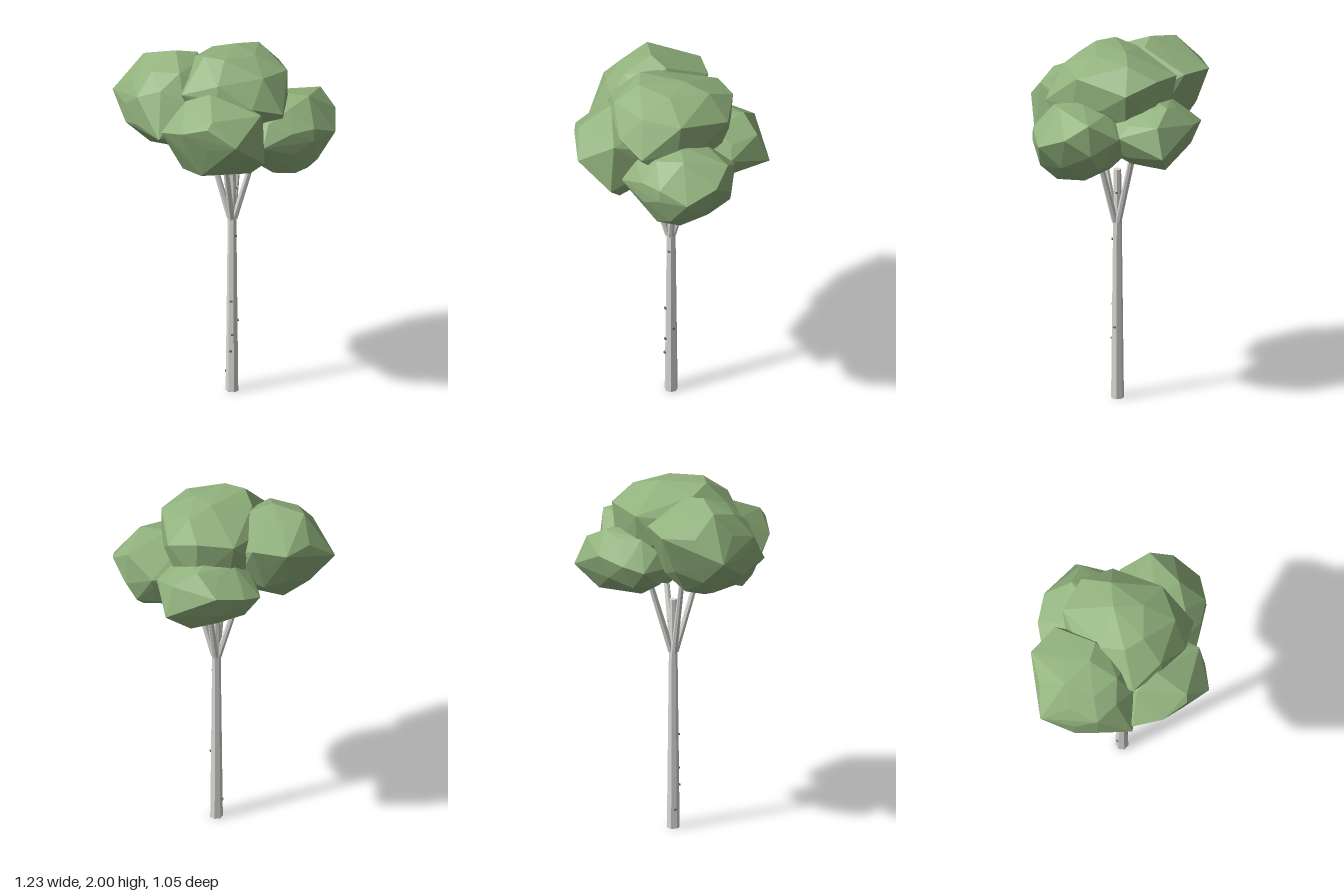
import * as THREE from 'three';
import { ConvexGeometry } from 'three/addons/geometries/ConvexGeometry.js';

const leafGreen = new THREE.MeshStandardMaterial({ color: 0x91b27d });
const barkGrey = new THREE.MeshStandardMaterial({ color: 0xdad9d5 });
const markGrey = new THREE.MeshStandardMaterial({ color: 0x73716e });

function seeded(seed) {
  let s = seed;
  return () => (s = (s * 16807) % 2147483647) / 2147483647;
}

// Faceted leaf clump: hull around a jittered icosphere core and a few landmark corners
function clump(name, seed, center, radii, corners) {
  const rand = seeded(seed);
  const c = new THREE.Vector3(...center);
  const r = new THREE.Vector3(...radii);
  const core = new THREE.IcosahedronGeometry(1, 1).attributes.position;
  const points = corners.map((p) => new THREE.Vector3(...p));
  const seen = new Set();
  for (let i = 0; i < core.count; i++) {
    const v = new THREE.Vector3().fromBufferAttribute(core, i);
    const key = v.toArray().map((n) => Math.round(n * 100)).join();
    if (seen.has(key)) continue;
    seen.add(key);
    points.push(v.multiplyScalar(0.87 + 0.08 * rand()).multiply(r).add(c));
  }
  const mesh = new THREE.Mesh(new ConvexGeometry(points), leafGreen);
  mesh.name = name;
  return mesh;
}

// Tapered faceted limb between two points
function limb(name, from, to, rFrom, rTo, sides) {
  const a = new THREE.Vector3(...from), b = new THREE.Vector3(...to);
  const axis = b.clone().sub(a);
  const g = new THREE.CylinderGeometry(rTo, rFrom, axis.length(), sides).toNonIndexed();
  g.computeVertexNormals();
  const mesh = new THREE.Mesh(g, barkGrey);
  mesh.position.copy(a).add(b).multiplyScalar(0.5);
  mesh.quaternion.setFromUnitVectors(new THREE.Vector3(0, 1, 0), axis.normalize());
  mesh.name = name;
  return mesh;
}

export function createModel() {
  const tree = new THREE.Group();
  tree.name = 'tree';
  const tx = 0.036;

  // Trunk and four forked branches
  const trunk = limb('trunk', [tx, 0, -0.003], [tx, 1.31, -0.003], 0.036, 0.021, 7);
  trunk.rotateY(0.52);
  tree.add(trunk);
  [['leftBranch', 1, 0], ['rightBranch', -1, 0], ['frontBranch', -0.05, 1], ['backBranch', 0.05, -1]].forEach(([name, x, z]) => {
    tree.add(limb(name, [tx + x * 0.012, 1.01, z * 0.012], [tx + x * 0.18, 1.58, z * 0.18], 0.018, 0.014, 7));
  });

  // Small dark bark marks: height and heading around the trunk
  const marks = new THREE.Group();
  marks.name = 'barkMarks';
  [[0.11, -1.6], [0.24, 0], [0.335, 0.3], [0.41, 2], [0.53, 0.1], [0.91, 1.1], [1.18, 2.4]].forEach(([y, a]) => {
    const r = 0.034 - 0.0115 * y;
    const m = new THREE.Mesh(new THREE.BoxGeometry(0.015, 0.009, 0.012), markGrey);
    m.position.set(tx + Math.sin(a) * r, y, Math.cos(a) * r);
    m.rotation.y = a;
    m.name = 'barkMark';
    marks.add(m);
  });
  tree.add(marks);

  // Crown of five overlapping clumps
  const crown = new THREE.Group();
  crown.name = 'crown';
  crown.add(
    clump('topClump', 11, [0.04, 1.74, 0], [0.33, 0.27, 0.34], [
      [-0.08, 2, 0.15], [0.04, 2, -0.08], [0.04, 2, 0.17], [0.17, 1.985, 0.02], [0.13, 1.97, -0.2],
      [0.34, 1.9, -0.02], [0.04, 1.9, -0.34], [0.22, 1.84, -0.29], [0.375, 1.73, 0.2], [0.23, 1.78, 0.3],
      [0.04, 1.83, 0.33], [-0.16, 1.83, 0.31], [0.04, 1.9, 0.31], [0.26, 1.92, 0.18], [0.35, 1.63, 0.1],
      [0.05, 1.66, -0.32], [-0.15, 1.96, 0.05], [-0.15, 1.88, -0.28], [-0.24, 1.85, 0]]),
    clump('rightClump', 23, [-0.28, 1.71, 0.08], [0.29, 0.28, 0.31], [
      [-0.615, 1.72, 0.07], [-0.44, 1.95, 0.07], [-0.26, 1.985, 0.07], [-0.16, 1.96, 0], [-0.43, 1.84, -0.22],
      [-0.24, 1.85, -0.24], [-0.51, 1.84, -0.06], [-0.5, 1.6, 0.22], [-0.39, 1.67, 0.29], [-0.26, 1.6, 0.42],
      [-0.14, 1.72, 0.29], [-0.43, 1.51, 0.1], [-0.26, 1.43, 0.08], [-0.16, 1.46, 0.15], [-0.27, 1.84, 0.24]]),
    clump('frontClump', 37, [0.03, 1.6, 0.25], [0.28, 0.22, 0.27], [
      [-0.25, 1.64, 0.41], [-0.11, 1.68, 0.5], [0.04, 1.73, 0.525], [0.2, 1.64, 0.525], [0.06, 1.77, 0.5],
      [0.29, 1.77, 0.34], [0.315, 1.5, 0.36], [0.22, 1.41, 0.3], [-0.15, 1.41, 0.33], [-0.02, 1.42, 0.43],
      [0.02, 1.4, 0.25], [0, 1.855, 0.32], [-0.14, 1.8, 0.32]]),
    clump('leftClump', 41, [0.3, 1.56, -0.02], [0.29, 0.22, 0.3], [
      [0.61, 1.57, -0.02], [0.46, 1.76, -0.02], [0.46, 1.72, -0.26], [0.3, 1.62, -0.32], [0.565, 1.64, -0.185],
      [0.46, 1.55, -0.28], [0.53, 1.63, 0.12], [0.42, 1.58, 0.2], [0.29, 1.56, 0.3], [0.46, 1.35, 0],
      [0.14, 1.36, 0], [0.3, 1.35, 0.12], [0.42, 1.36, 0.12], [0.53, 1.43, 0.06], [0.4, 1.37, -0.16],
      [0.4, 1.46, -0.28]]),
    clump('backClump', 59, [0, 1.59, -0.24], [0.29, 0.2, 0.26], [
      [0.16, 1.53, -0.525], [-0.11, 1.66, -0.475], [-0.24, 1.63, -0.38], [-0.3, 1.6, -0.28], [0.28, 1.62, -0.3],
      [0.02, 1.76, -0.4], [0.05, 1.42, -0.42], [0, 1.42, -0.28], [0.14, 1.69, -0.46]])
  );
  tree.add(crown);
  return tree;
}
